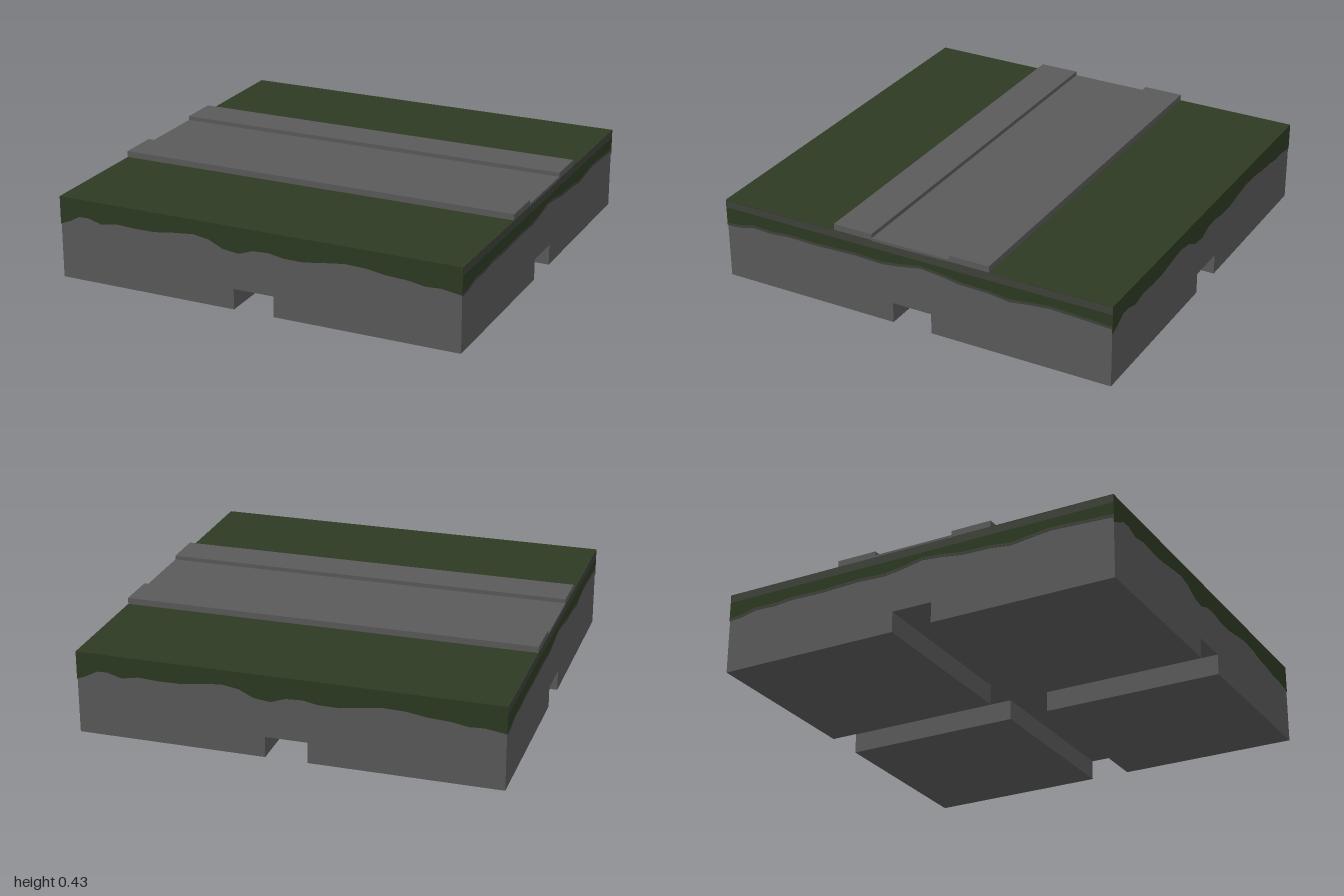
import * as THREE from 'three';

export function createModel() {
  const model = new THREE.Group();
  const material = (name, color) => Object.assign(new THREE.MeshStandardMaterial({ color }), { name });
  const stone = material('stone grey', 0x5a5a5a);
  const grass = material('grass green', 0x2d3a22);
  const moss = material('mossy grey', 0x3e4239);

  const EDGE = 0.998; // walls sit just inside the painted turf plates

  function box(name, mat, x0, x1, y0, y1, z0, z1) {
    const mesh = new THREE.Mesh(new THREE.BoxGeometry(x1 - x0, y1 - y0, z1 - z0), mat);
    mesh.position.set((x0 + x1) / 2, (y0 + y1) / 2, (z0 + z1) / 2);
    mesh.name = name;
    model.add(mesh);
  }

  // Four feet under a slab leave a cross of channels
  box('baseSlab', stone, -EDGE, EDGE, 0.1, 0.397, -EDGE, EDGE);
  for (const x of [-1, 1]) for (const z of [-1, 1]) {
    const mid = (EDGE + 0.1) / 2, half = (EDGE - 0.1) / 2;
    box('baseFoot', stone, x * mid - half, x * mid + half, 0, 0.1, z * mid - half, z * mid + half);
  }

  // Grass on both sides of a paved road with raised kerbs
  for (const s of [-1, 1]) {
    box('grassTop', grass, -1, 1, 0.396, 0.4, s * 0.7 - 0.3, s * 0.7 + 0.3);
    box('kerb', stone, -1, 1, 0.4, 0.43, s * 0.3 - 0.1, s * 0.3 + 0.1);
  }
  box('road', stone, -1, 1, 0.396, 0.41, -0.2, 0.2);

  // Wavy lower edges of the turf, as [along, height] from left to right
  const frontWave = [[-1, .265], [-.95, .285], [-.9, .313], [-.85, .315], [-.78, .295], [-.7, .31],
    [-.6, .305], [-.5, .306], [-.4, .32], [-.3, .33], [-.22, .318], [-.15, .285], [-.07, .275],
    [0, .3], [.08, .304], [.15, .291], [.25, .29], [.35, .305], [.45, .318], [.55, .315],
    [.65, .3], [.75, .295], [.83, .281], [.9, .285], [1, .27]];
  const sideWave = [[-1, .265], [-.93, .27], [-.85, .288], [-.75, .284], [-.65, .293], [-.5, .289],
    [-.3, .296], [-.15, .29], [-.05, .303], [.05, .322], [.15, .313], [.25, .297], [.4, .293],
    [.5, .28], [.6, .293], [.7, .303], [.85, .296], [1, .288]];
  const raise = (wave, dy) => wave.map(([x, y]) => [x, y + dy]);
  const level = (y) => [[-1, y], [1, y]];

  // Thin wall plate filling the strip between two edges
  function strip(name, mat, lower, upper, angle) {
    const points = [...lower, ...[...upper].reverse()].map(([x, y]) => new THREE.Vector2(x, y));
    const geometry = new THREE.ExtrudeGeometry(new THREE.Shape(points), { depth: 0.002, bevelEnabled: false });
    geometry.translate(0, 0, EDGE);
    const mesh = new THREE.Mesh(geometry, mat);
    mesh.rotation.y = angle;
    mesh.name = name;
    model.add(mesh);
  }

  // Opposite walls match when turned half round
  for (const turn of [0, Math.PI]) {
    strip('turfEdge', grass, frontWave, level(0.4), turn);
    const side = turn + Math.PI / 2;
    strip('turfFringe', moss, sideWave, raise(sideWave, 0.014), side);
    strip('turfSide', grass, raise(sideWave, 0.014), level(0.36), side);
    strip('turfRim', moss, level(0.36), level(0.4), side);
  }

  return model;
}
